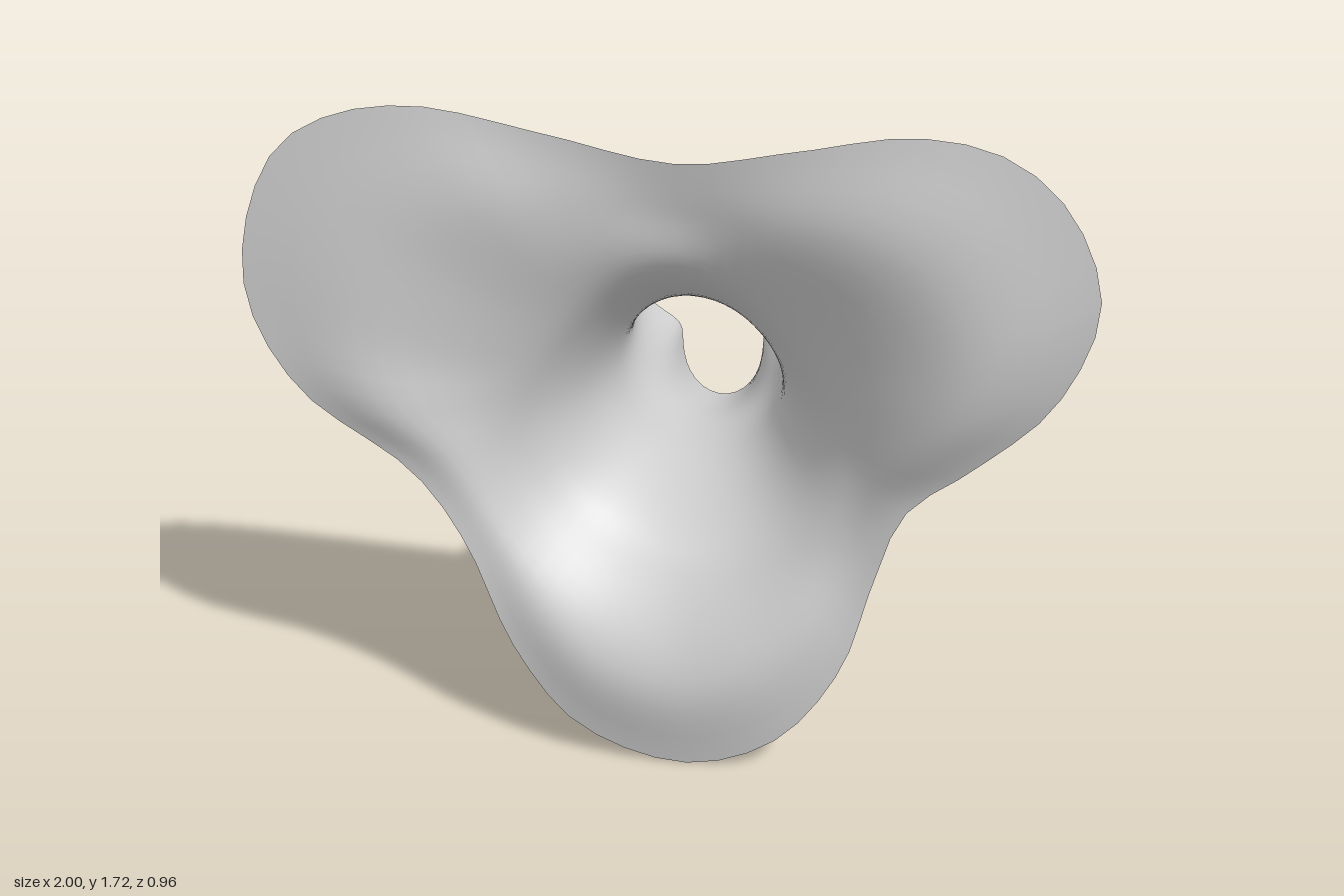
import * as THREE from 'three';

const AROUND = 72, ALONG = 40;
const CX = 0.03;

// Outer edge of the flare, anticlockwise from the top dip: [x, y, z]
const RIM = [
  [0.04, 1.60, 0.34], [0.31, 1.655, 0.385], [0.58, 1.715, 0.43], [0.76, 1.69, 0.44],
  [0.89, 1.60, 0.435], [0.98, 1.45, 0.43], [1.0, 1.32, 0.43], [0.92, 1.10, 0.42],
  [0.76, 0.92, 0.39], [0.60, 0.76, 0.35], [0.53, 0.55, 0.345], [0.46, 0.31, 0.37],
  [0.30, 0.09, 0.385], [0.07, 0.0, 0.39], [-0.20, 0.10, 0.41], [-0.36, 0.32, 0.42],
  [-0.48, 0.62, 0.415], [-0.60, 0.80, 0.415], [-0.87, 1.01, 0.425], [-0.99, 1.22, 0.40],
  [-0.98, 1.42, 0.385], [-0.89, 1.60, 0.375], [-0.75, 1.685, 0.375], [-0.55, 1.715, 0.375],
  [-0.26, 1.66, 0.355],
].map((p) => new THREE.Vector3(...p));

// Rings of the neck: depth, centre height, mean radius, three-lobed ripple
const NECK = [
  [-0.48, 0.937, 0.212, 0.07],
  [-0.34, 0.92, 0.207, 0.03],
  [-0.2, 0.91, 0.21, 0.0],
  [0.0, 0.91, 0.233, -0.006],
  [0.2, 0.915, 0.32, -0.012],
  [0.3, 0.92, 0.412, -0.018],
];

// One strand from the neck opening to a point on the rim
function strand(rim) {
  const a = Math.atan2(rim.y - 0.91, rim.x - CX);
  const lobe = Math.cos(3 * (a - Math.PI / 6));
  const pts = NECK.map(([z, cy, r, ripple]) => {
    const rad = r + ripple * lobe;
    return new THREE.Vector3(CX + rad * Math.cos(a), cy + rad * Math.sin(a), z);
  });
  // Lobes swell forward, the dips between them sag back
  const mid = pts[pts.length - 1].clone().lerp(rim, 0.5);
  mid.z = rim.z + 0.01 + 0.032 * lobe;
  pts.push(mid, rim);
  return new THREE.CatmullRomCurve3(pts, false, 'centripetal');
}

// Open shell lofted along strands spaced round the rim
function flaredShell() {
  const edge = new THREE.CatmullRomCurve3(RIM, true, 'centripetal');
  const positions = [], index = [];
  for (let i = 0; i < AROUND; i++) {
    const curve = strand(edge.getPointAt(i / AROUND));
    for (let j = 0; j <= ALONG; j++) {
      positions.push(...curve.getPoint(j / ALONG).toArray());
      if (j === ALONG) continue;
      const a = i * (ALONG + 1) + j;
      const b = ((i + 1) % AROUND) * (ALONG + 1) + j;
      index.push(a, a + 1, b, b, a + 1, b + 1);
    }
  }
  const geo = new THREE.BufferGeometry();
  geo.setAttribute('position', new THREE.Float32BufferAttribute(positions, 3));
  geo.setIndex(index);
  geo.computeVertexNormals();
  return geo;
}

export function createModel() {
  const group = new THREE.Group();
  group.name = 'threeLobedFunnel';
  const material = new THREE.MeshStandardMaterial({ color: 0xcccccc, side: THREE.DoubleSide });
  const shell = new THREE.Mesh(flaredShell(), material);
  shell.name = 'flaredShell';
  group.add(shell);
  return group;
}
